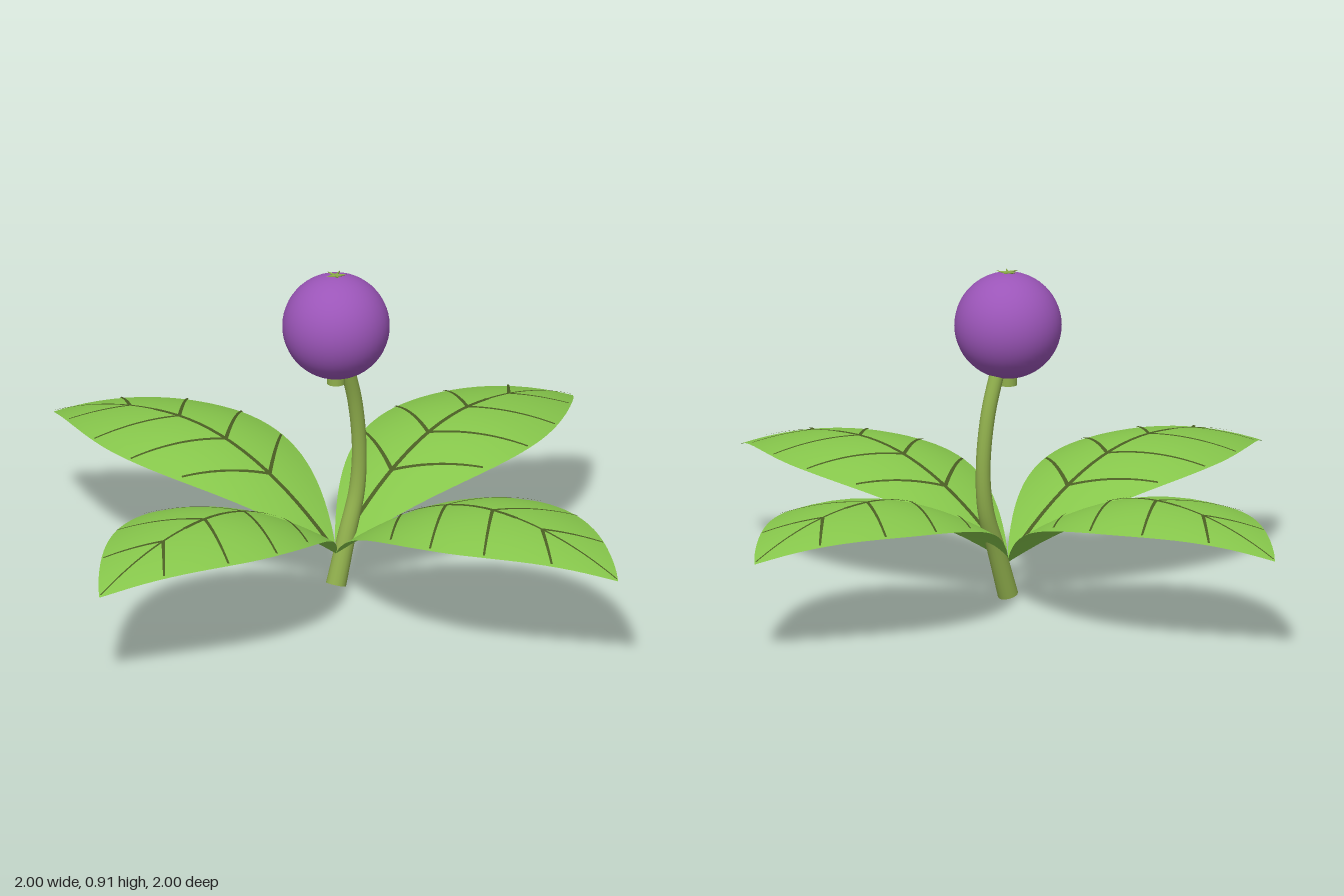
import * as THREE from 'three';

const material = (name, color, side = THREE.FrontSide) => {
  const m = new THREE.MeshStandardMaterial({ color, side });
  m.name = name;
  return m;
};

// Leaf shape: half width and height at distance r from the centre
const halfWidth = (r) => 0.24 * Math.pow(Math.max(0, Math.sin(Math.PI * r)), 0.9);
const leafHeight = (r, x) => {
  const bend = r < 0.57 ? 0.8 : 0.51;
  return 0.36 - bend * (r - 0.57) ** 2 - 0.87 * x * x;
};

// Bends a flat grid by a rule (u across -1..1, v along 0..1) giving [x, r, lift]
function bentGrid(across, along, rule) {
  const geometry = new THREE.PlaneGeometry(2, 1, across, along);
  const p = geometry.attributes.position;
  for (let i = 0; i < p.count; i++) {
    const [x, r, lift] = rule(p.getX(i), p.getY(i) + 0.5);
    p.setXYZ(i, x, leafHeight(r, x) + lift, -r);
  }
  geometry.computeVertexNormals();
  return geometry;
}

// Thin tapered strip lying on the leaf from (x0, r0) to (x1, r1)
function veinStrip(x0, r0, x1, r1, w0, w1) {
  const length = Math.hypot(x1 - x0, r1 - r0);
  const nx = (r1 - r0) / length, nr = -(x1 - x0) / length;
  return bentGrid(1, 16, (u, v) => {
    const w = u * (w0 + (w1 - w0) * v);
    return [x0 + (x1 - x0) * v + nx * w, r0 + (r1 - r0) * v + nr * w, 0.004];
  });
}

export function createModel() {
  const group = new THREE.Group();
  const leafGreen = material('leaf green', 0x86c64b, THREE.DoubleSide);
  const veinGreen = material('dark vein green', 0x4a5d23);
  const stemGreen = material('stem green', 0x8fae4c);
  const berryPurple = material('berry purple', 0x9b55b8);

  const add = (parent, name, geometry, mat) => {
    const mesh = new THREE.Mesh(geometry, mat);
    mesh.name = name;
    parent.add(mesh);
    return mesh;
  };

  // Four arched leaves with veins
  const blade = bentGrid(12, 32, (u, v) => [u * halfWidth(v), v, 0]);
  const veins = [
    veinStrip(0, 0.02, 0, 0.64, 0.007, 0.006),
    veinStrip(0, 0.64, 0, 0.995, 0.004, 0.002),
  ];
  const sideVeins = [[0.235, 0.21, 0.37], [0.39, 0.235, 0.53], [0.555, 0.198, 0.69], [0.73, 0.108, 0.855]];
  for (const [r0, x1, r1] of sideVeins)
    for (const s of [-1, 1]) veins.push(veinStrip(0, r0, s * x1, r1, 0.005, 0.003));

  for (let i = 0; i < 4; i++) {
    const leaf = new THREE.Group();
    leaf.name = 'leaf';
    leaf.rotation.y = i * Math.PI / 2;
    add(leaf, 'leafBlade', blade, leafGreen);
    veins.forEach((v) => add(leaf, 'leafVein', v, veinGreen));
    group.add(leaf);
  }

  // Curved stem, thicker at the foot
  const path = new THREE.CatmullRomCurve3([
    [0, 0.01], [0.045, 0.14], [0.088, 0.26], [0.098, 0.38], [0.08, 0.52], [0.045, 0.63], [0.01, 0.72],
  ].map(([x, y]) => new THREE.Vector3(x, y, 0)));
  const stem = new THREE.TubeGeometry(path, 40, 1, 16);
  const p = stem.attributes.position;
  const centre = new THREE.Vector3(), point = new THREE.Vector3();
  for (let i = 0; i < p.count; i++) {
    const t = Math.floor(i / 17) / 40;
    path.getPointAt(t, centre);
    point.fromBufferAttribute(p, i).sub(centre);
    point.multiplyScalar(0.028 - 0.008 * Math.min(1, t * 2)).add(centre);
    p.setXYZ(i, point.x, point.y, point.z);
  }
  add(group, 'stem', stem, stemGreen);
  const foot = add(group, 'stemFoot', new THREE.CircleGeometry(0.028, 16), stemGreen);
  foot.position.copy(path.getPointAt(0));
  foot.lookAt(foot.position.clone().sub(path.getTangentAt(0)));

  // Berry with its collar below
  add(group, 'berry', new THREE.SphereGeometry(0.146, 40, 28), berryPurple).position.y = 0.762;
  add(group, 'berryCollar', new THREE.CylinderGeometry(0.025, 0.025, 0.05, 16), stemGreen).position.y = 0.62;

  // Small star of sepals on top of the berry
  const sepal = new THREE.ConeGeometry(0.006, 0.032, 6);
  sepal.translate(0, 0.016, 0);
  sepal.rotateZ(-1.4);
  for (let i = 0; i < 5; i++) {
    const m = add(group, 'sepal', sepal, stemGreen);
    m.position.y = 0.907;
    m.rotation.y = Math.PI / 2 + i * Math.PI * 2 / 5;
  }
  return group;
}
